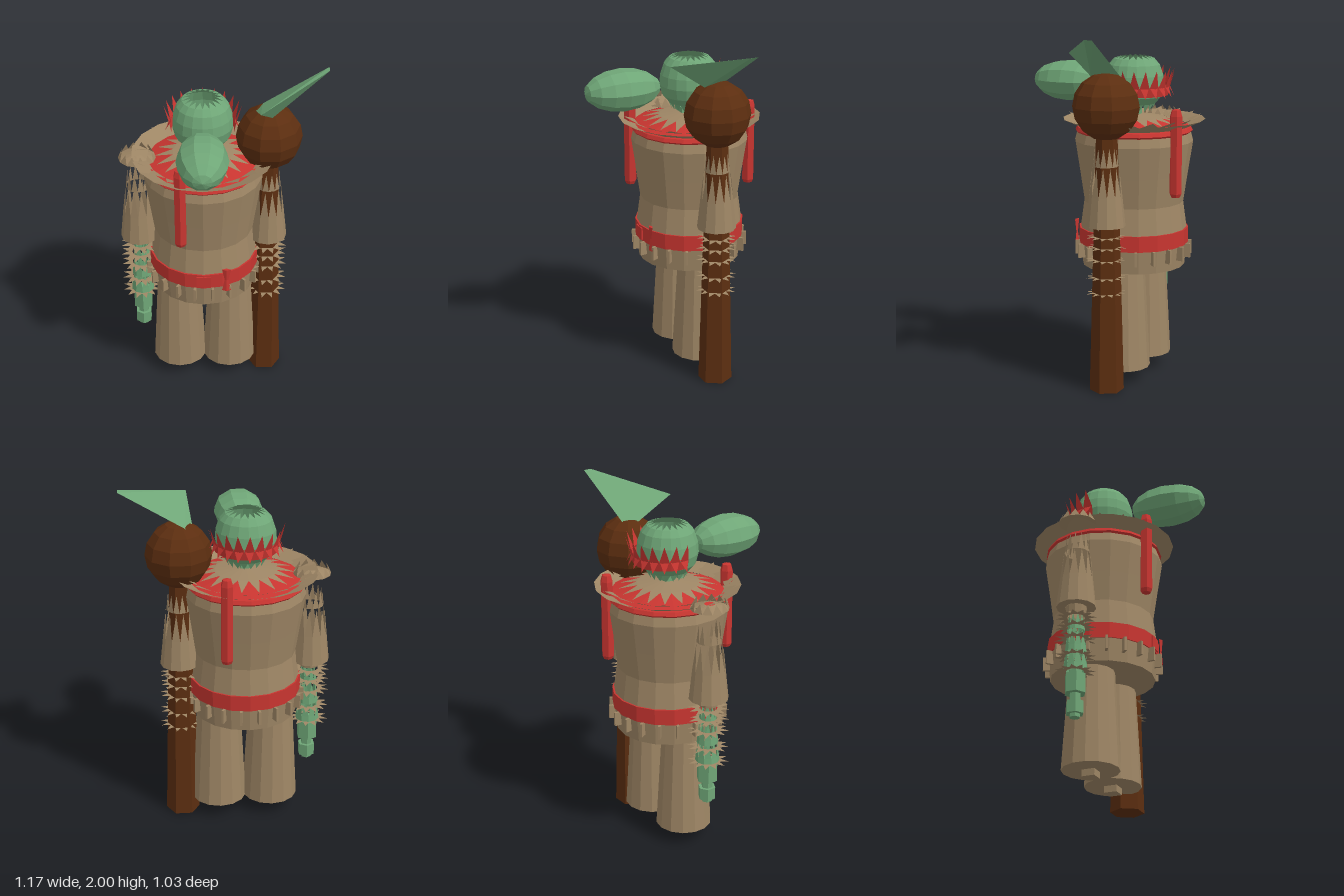
import * as THREE from 'three';
import { ConvexGeometry } from 'three/addons/geometries/ConvexGeometry.js';

const CX = -0.11, CZ = -0.115; // axis of the body

function material(name, color) {
  const m = new THREE.MeshStandardMaterial({ color, flatShading: true, side: THREE.DoubleSide });
  m.name = name;
  return m;
}

// Ring of triangular teeth: base circle [r, y], tips at [r, y]
function teeth(n, [r0, y0], [r1, y1], start = 0, arc = Math.PI * 2) {
  const pos = [];
  const put = (r, y, k) => {
    const a = start + (arc * k) / n;
    pos.push(r * Math.sin(a), y, r * Math.cos(a));
  };
  for (let i = 0; i < n; i++) {
    put(r0, y0, i);
    put(r0, y0, i + 1);
    put(r1, y1, i + 0.5);
  }
  const g = new THREE.BufferGeometry();
  g.setAttribute('position', new THREE.Float32BufferAttribute(pos, 3));
  g.computeVertexNormals();
  return g;
}

function lathe(points, sides, start = 0, arc = Math.PI * 2) {
  return new THREE.LatheGeometry(points.map(([r, y]) => new THREE.Vector2(r, y)), sides, start, arc);
}

export function createModel() {
  const root = new THREE.Group();
  const tan = material('tan cloth', 0x9e8665);
  const red = material('red cloth', 0xc83530);
  const green = material('green skin', 0x6fa677);
  const brown = material('brown wood', 0x5c2e10);

  const add = (name, geo, mat, x = CX, y = 0, z = CZ, parent = root) => {
    const m = new THREE.Mesh(geo, mat);
    m.name = name;
    m.position.set(x, y, z);
    parent.add(m);
    return m;
  };
  const box = (w, h, d) => new THREE.BoxGeometry(w, h, d);

  // Tunic
  add('tunic', lathe([[0, 0.66], [0.295, 0.66], [0.308, 0.79], [0.308, 0.86], [0.285, 1.03],
    [0.31, 1.2], [0.338, 1.38], [0.325, 1.43], [0, 1.44]], 18), tan);
  for (let i = 0; i < 20; i++) {
    const a = ((i + 0.5) / 20) * Math.PI * 2;
    const tag = add('tunicTassel', box(0.014, 0.08, 0.05), tan,
      CX + 0.312 * Math.sin(a), 0.752, CZ + 0.312 * Math.cos(a));
    tag.rotation.y = a;
  }

  // Belt, buckle and bow
  add('belt', lathe([[0.3, 0.79], [0.315, 0.79], [0.315, 0.88], [0.295, 0.88]], 18), red);
  add('buckle', box(0.08, 0.07, 0.008), red, CX, 0.835, CZ + 0.315);
  for (const s of [-1, 1]) {
    const bow = add('bow', new THREE.CylinderGeometry(0.026, 0.01, 0.075, 4), red, 0.02, 0.84 + s * 0.035, 0.185);
    if (s < 0) bow.rotation.z = Math.PI;
    bow.scale.z = 0.4;
  }

  // Collar: red yoke, pointed tan ruff and a wide upturned brim
  add('collarYoke', lathe([[0.32, 1.425], [0.335, 1.44], [0.325, 1.46], [0.13, 1.515]], 18), red);
  add('ruff', lathe([[0.04, 1.53], [0.17, 1.512]], 18), tan);
  add('ruffPoints', teeth(18, [0.17, 1.512], [0.275, 1.485]), tan);
  add('brim', lathe([[0.315, 1.465], [0.405, 1.505]], 18), tan);
  add('brimPoints', teeth(18, [0.315, 1.49], [0.385, 1.525]), tan);

  // Hanging red braids, front and back
  for (const [x, z] of [[-0.235, 0.2], [0.02, -0.43]]) {
    add('braid', lathe([[0, 1.09], [0.026, 1.095], [0.036, 1.115], [0.036, 1.55], [0.026, 1.585], [0, 1.59]], 6), red, x, 0, z);
  }

  // Legs and feet
  for (const s of [-1, 1]) {
    const x = CX + s * 0.15;
    add('leg', new THREE.CylinderGeometry(0.128, 0.16, 0.565, 14), tan, x, 0.3675);
    add('foot', box(0.075, 0.04, 0.075), tan, x, 0.067);
  }

  // Sleeves with ragged tops and flat wrist fringes
  for (const s of [-1, 1]) {
    const arm = new THREE.Group();
    arm.name = s < 0 ? 'rightArm' : 'leftArm';
    arm.position.set(CX + s * 0.37, 0, CZ);
    root.add(arm);
    const part = (name, geo, mat, y = 0) => add(name, geo, mat, 0, y, 0, arm);
    part('sleeve', lathe([[0.06, 0.95], [0.11, 0.95], [0.092, 1.12]], 12), tan);
    part('sleevePoints', teeth(12, [0.092, 1.12], [0.075, 1.28]), tan);
    part('upperSleevePoints', teeth(12, [0.07, 1.285], [0.06, 1.39]), tan);
    part('shoulderCap', lathe([[0.03, 1.5], [0.107, 1.475]], 12), tan);
    part('shoulderPoints', teeth(12, [0.107, 1.475], [0.085, 1.525]), tan);
    part('cuff', lathe([[0.055, 0.91], [0.06, 0.95]], 10), tan);
    for (const y of [0.57, 0.66, 0.76, 0.83, 0.89]) {
      part('wristFringe', teeth(12, [0.07, y], [0.115, y - 0.003]), tan);
      part('wristFringeBand', lathe([[0.05, y], [0.07, y]], 12), tan);
    }
  }

  // Forearm fur and hand on the right arm
  const HX = CX - 0.365;
  for (const [y, h, r] of [[0.57, 0.13, 0.068], [0.68, 0.13, 0.06], [0.81, 0.1, 0.05]]) {
    add('forearmBand', lathe([[r, y], [r * 0.95, y + h * 0.25]], 10), green, HX);
    add('forearmFur', teeth(10, [r * 0.95, y + h * 0.25], [r * 0.8, y + h]), green, HX);
  }
  for (const [r, y0, y1] of [[0.06, 0.445, 0.555], [0.032, 0.4, 0.445], [0.05, 0.33, 0.4], [0.03, 0.31, 0.33], [0.04, 0.555, 0.575]]) {
    add('hand', new THREE.CylinderGeometry(r, r, y1 - y0, 6), green, HX, (y0 + y1) / 2);
  }

  // Head: open shell with pointed rims, neck pieces inside
  add('head', lathe([[0.12, 1.59], [0.155, 1.63], [0.17, 1.69], [0.165, 1.75], [0.145, 1.81], [0.115, 1.845]], 18), green);
  add('headLowerPoints', teeth(18, [0.12, 1.59], [0.1, 1.55]), green);
  add('headUpperPoints', teeth(18, [0.115, 1.845], [0.07, 1.86]), green);
  add('neck', box(0.06, 0.07, 0.07), green, CX, 1.545);
  add('chin', box(0.1, 0.03, 0.025), green, CX, 1.55, -0.06);

  // Red crest round the back of the head
  const S = Math.PI * 0.46, L = Math.PI * 1.08;
  add('crestBand', lathe([[0.175, 1.64], [0.185, 1.69]], 12, S, L), red, CX, 0, -0.135);
  add('crestPoints', teeth(11, [0.185, 1.69], [0.215, 1.79], S, L), red, CX, 0, -0.135);
  add('crestLowerPoints', teeth(11, [0.18, 1.7], [0.21, 1.635], S, L), red, CX, 0, -0.135);

  // Snout
  const snoutGeo = new THREE.SphereGeometry(1, 10, 8);
  snoutGeo.rotateX(Math.PI / 2);
  snoutGeo.scale(0.142, 0.118, 0.222);
  add('snout', snoutGeo, green, CX, 1.7, 0.292);

  // Club: tapered hexagonal shaft, round head and a wedge-shaped leaf
  const shaft = add('clubShaft', new THREE.CylinderGeometry(0.058, 0.097, 1.5, 6), brown, 0.253, 0.75, -0.118);
  shaft.rotation.y = Math.PI / 6;
  add('clubHead', new THREE.SphereGeometry(0.186, 10, 8), brown, 0.258, 1.613, -0.115);
  const leaf = [[0.2, 1.89, 0.14], [0.58, 2, -0.19], [0.58, 2, -0.145], [0.18, 1.77, -0.12],
    [0.22, 1.78, -0.18], [0.27, 1.775, -0.03]].map((p) => new THREE.Vector3(...p));
  add('clubLeaf', new ConvexGeometry(leaf), green, 0, 0, 0);

  return root;
}
